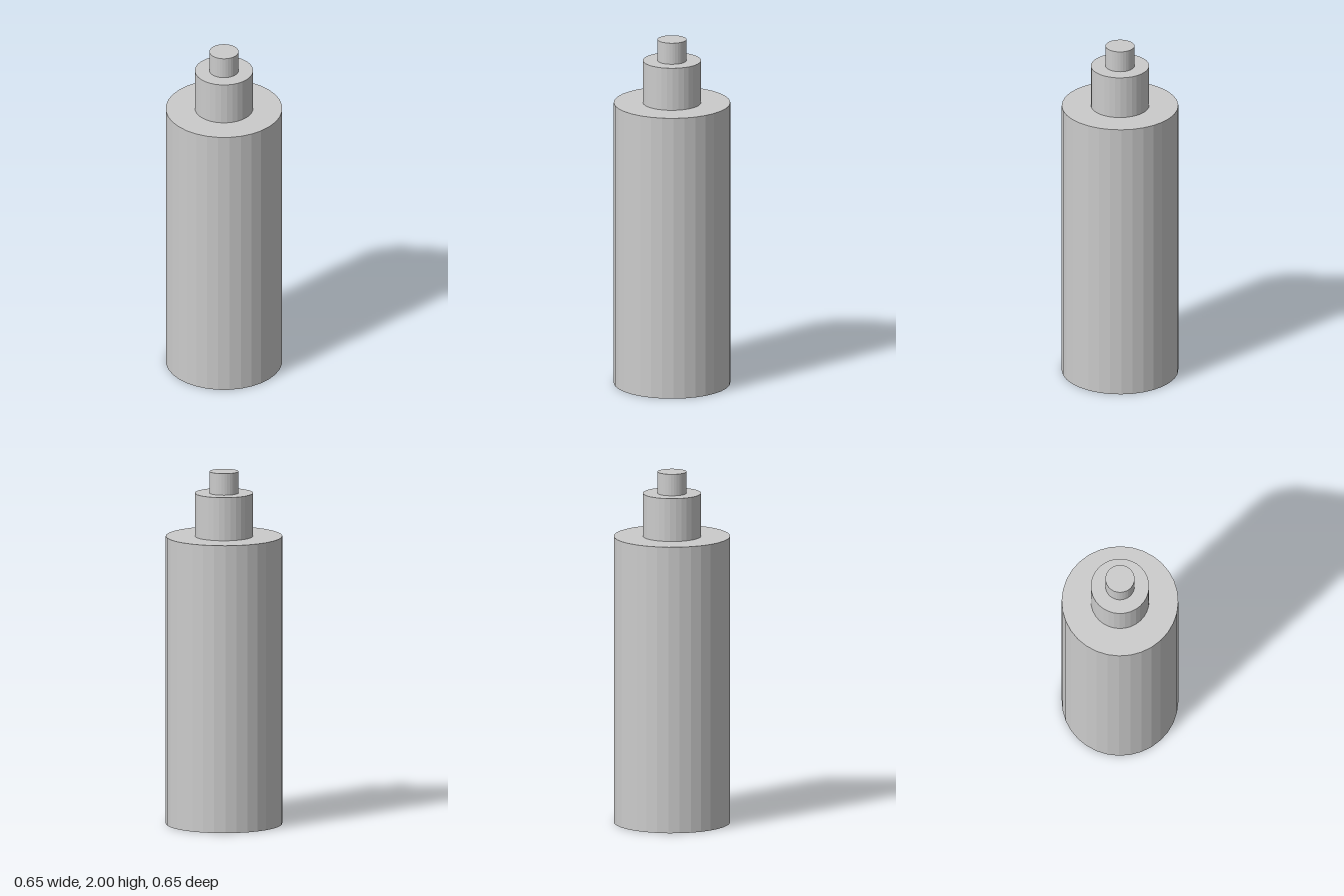
import * as THREE from 'three';

export function createModel() {
  const group = new THREE.Group();
  const material = new THREE.MeshStandardMaterial({ color: 0xcccccc, flatShading: true });

  // Stacked cylinders, bottom to top: name, radius, height
  const tiers = [
    ['body', 0.3265, 1.6327],
    ['neck', 0.1633, 0.2449],
    ['nozzle', 0.0816, 0.1224],
  ];

  let y = 0;
  for (const [name, radius, height] of tiers) {
    const mesh = new THREE.Mesh(new THREE.CylinderGeometry(radius, radius, height, 32), material);
    mesh.name = name;
    mesh.position.y = y + height / 2;
    group.add(mesh);
    y += height;
  }
  return group;
}
